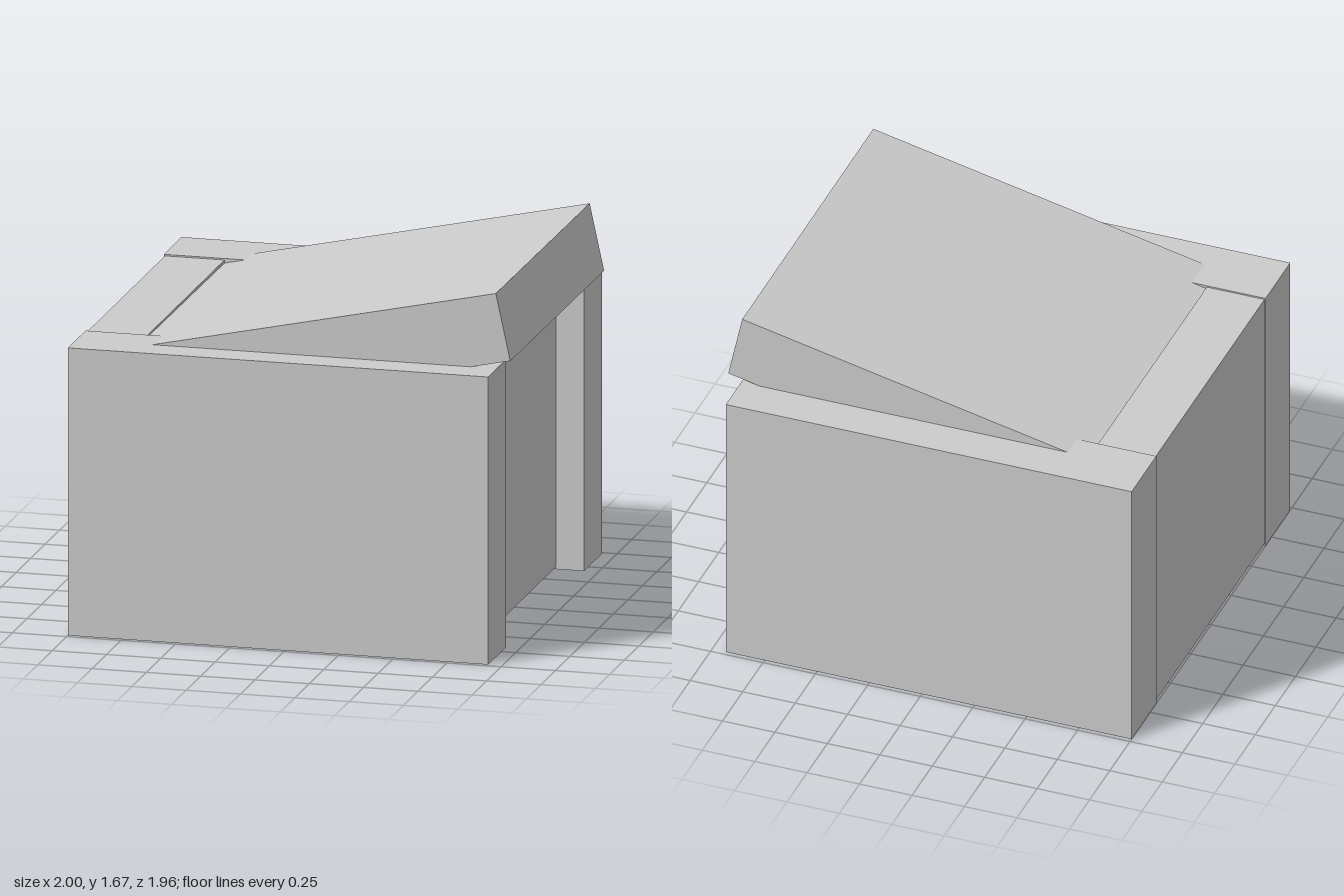
import * as THREE from 'three';

export function createModel() {
  const group = new THREE.Group();
  const material = new THREE.MeshStandardMaterial({ color: 0xcccccc, flatShading: true });

  // Box given by its extents along each axis
  function block(name, [x0, x1], [y0, y1], [z0, z1]) {
    const mesh = new THREE.Mesh(new THREE.BoxGeometry(x1 - x0, y1 - y0, z1 - z0), material);
    mesh.position.set((x0 + x1) / 2, (y0 + y1) / 2, (z0 + z1) / 2);
    mesh.name = name;
    group.add(mesh);
    return mesh;
  }

  // Long side walls
  block('leftSideWall', [-1, 0.935], [0, 1.325], [0.675, 0.98]);
  block('rightSideWall', [-1, 0.935], [0, 1.325], [-0.98, -0.675]);

  // End walls between the sides; the one at +x is set back
  block('closedEndWall', [-0.995, -0.72], [0.01, 1.318], [-0.675, 0.675]);
  block('recessedEndWall', [0.53, 0.805], [0.01, 1.318], [-0.675, 0.675]);

  // Thick tilted slab resting in the open top
  const tilt = 0.215, length = 1.695, thickness = 0.313;
  const slab = new THREE.Mesh(new THREE.BoxGeometry(length, thickness, 1.62), material);
  slab.name = 'tiltedSlab';
  // Geometry origin moved to the raised upper edge
  slab.geometry.translate(-length / 2, -thickness / 2, 0);
  slab.position.set(0.93, 1.667, 0.02);
  slab.rotation.set(-0.004, 0, tilt);
  group.add(slab);

  return group;
}
